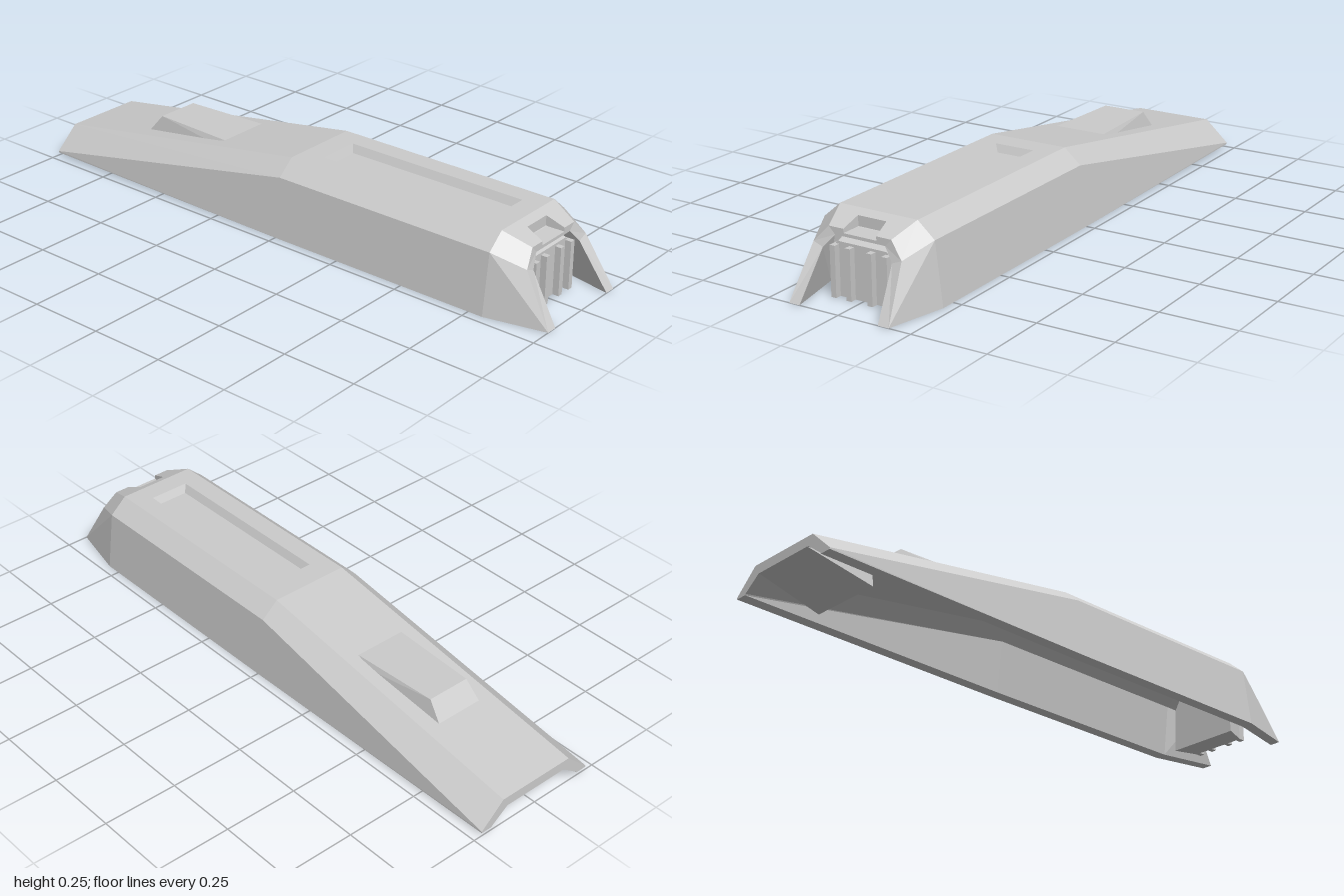
import * as THREE from 'three';

const material = new THREE.MeshStandardMaterial({ color: 0xcccccc, flatShading: true, side: THREE.DoubleSide });

// Builds a mesh from quads given for the +x half, mirrored to -x
function mirroredMesh(name, quads) {
  const pos = [];
  const flip = ([x, y, z]) => [-x, y, z];
  for (const [a, b, c, d] of quads) {
    pos.push(...a, ...b, ...c, ...a, ...c, ...d);
    const [e, f, g, h] = [a, b, c, d].map(flip);
    pos.push(...e, ...g, ...f, ...e, ...h, ...g);
  }
  const geometry = new THREE.BufferGeometry();
  geometry.setAttribute('position', new THREE.Float32BufferAttribute(pos, 3));
  geometry.computeVertexNormals();
  const mesh = new THREE.Mesh(geometry, material);
  mesh.name = name;
  return mesh;
}

const mid = ([, y, z]) => [0, y, z];

// Skins two half sections (rows of points running from the side to the middle)
function skin(front, back) {
  const quads = [];
  for (let i = 0; i < front.length - 1; i++) quads.push([front[i], back[i], back[i + 1], front[i + 1]]);
  return quads;
}

function createShell() {
  // Half sections, front to back: bottom, shoulder, roof edge
  const outer = [
    [[0.175, 0, 1], [0.155, 0.163, 0.905], [0.11, 0.213, 0.89]],
    [[0.22, 0, 0.8], [0.195, 0.2, 0.8], [0.137, 0.25, 0.8]],
    [[0.22, 0, 0], [0.195, 0.2, 0], [0.137, 0.25, 0]],
    [[0.22, 0.01, -1], [0.22, 0.015, -1], [0.137, 0.09, -1]],
  ];
  const inner = [
    [[0.138, 0, 1], [0.122, 0.15, 0.905], [0.088, 0.19, 0.89]],
    [[0.18, 0, 0.8], [0.158, 0.175, 0.8], [0.112, 0.212, 0.8]],
    [[0.18, 0, 0], [0.158, 0.175, 0], [0.112, 0.212, 0]],
    [[0.18, 0.01, -1], [0.178, 0.014, -1], [0.118, 0.058, -1]],
  ];
  const quads = [];
  for (let k = 0; k < 3; k++) {
    quads.push(...skin(outer[k], outer[k + 1]));
    const ceiling = (row) => [...row, mid(row[2])];
    quads.push(...skin(ceiling(inner[k + 1]), ceiling(inner[k])));
    quads.push([inner[k][0], inner[k + 1][0], outer[k + 1][0], outer[k][0]]);
  }
  // End rims
  for (let i = 0; i < 2; i++) {
    quads.push([outer[0][i], outer[0][i + 1], inner[0][i + 1], inner[0][i]]);
    quads.push([outer[3][i], inner[3][i], inner[3][i + 1], outer[3][i + 1]]);
  }
  quads.push([outer[3][2], inner[3][2], mid(inner[3][2]), mid(outer[3][2])]);

  // Rear roof
  const roof = outer.map((row) => row[2]);
  quads.push([roof[2], roof[3], mid(roof[3]), mid(roof[2])]);

  // Flat roof around the long recess, with its sloped walls and floor
  const a = [0.07, 0.25, 0.73], b = [0.07, 0.25, 0.08];
  const c = [0.056, 0.225, 0.715], d = [0.056, 0.225, 0.092];
  quads.push(
    [roof[1], roof[2], b, a],
    [roof[1], a, mid(a), mid(roof[1])],
    [b, roof[2], mid(roof[2]), mid(b)],
    [a, b, d, c],
    [a, c, mid(c), mid(a)],
    [d, b, mid(b), mid(d)],
    [c, d, mid(d), mid(c)],
  );

  // Sloped nose around the small notch
  const e = [0.058, 0.213, 0.89], f = [0.05, 0.2377, 0.83];
  const g = [0.058, 0.2, 0.89], h = [0.05, 0.204, 0.83], lip = [0.058, 0.19, 0.89];
  quads.push(
    [roof[0], roof[1], f, e],
    [f, roof[1], mid(roof[1]), mid(f)],
    [e, f, h, g],
    [h, f, mid(f), mid(h)],
    [g, h, mid(h), mid(g)],
    [roof[0], e, lip, inner[0][2]],
    [g, mid(g), mid(lip), lip],
  );
  return mirroredMesh('shell', quads);
}

// Wedge-shaped block on the rear roof
function createRearSight() {
  const frontTop = [0.09, 0.2, -0.33], backTop = [0.075, 0.2, -0.63];
  const frontLow = [0.095, 0.18, -0.39], backLow = [0.084, 0.14, -0.68];
  return mirroredMesh('rearRaisedBlock', [
    [frontTop, backTop, mid(backTop), mid(frontTop)],
    [frontLow, backLow, backTop, frontTop],
    [backLow, mid(backLow), mid(backTop), backTop],
    [frontLow, frontTop, mid(frontTop), mid(frontLow)],
  ]);
}

// Tapered plug with upright ribs inside the nose
function createGrille() {
  const group = new THREE.Group();
  group.name = 'frontGrille';
  const front = [[0.1, 0, 0.88], [0.1, 0.155, 0.88], [0.085, 0.168, 0.88], [0, 0.168, 0.88]];
  const back = [[0.128, 0, 0.8], [0.12, 0.15, 0.8], [0.09, 0.2, 0.8], [0, 0.2, 0.8]];
  const quads = skin(front, back);
  for (let i = 0; i < 2; i++) {
    quads.push([front[i], front[i + 1], mid(front[i + 1]), mid(front[i])]);
    quads.push([back[i], mid(back[i]), mid(back[i + 1]), back[i + 1]]);
  }
  quads.push([front[0], mid(front[0]), mid(back[0]), back[0]]);
  group.add(mirroredMesh('grilleBody', quads));
  for (const side of [-1, 1]) {
    for (const x of [0.0375, 0.0915]) {
      const rib = new THREE.Mesh(new THREE.BoxGeometry(0.018, 0.16, 0.03), material);
      rib.position.set(side * x, 0.08, 0.886);
      rib.name = 'grilleRib';
      group.add(rib);
    }
  }
  return group;
}

// Sloped wedge closing the underside of the tail
function createTailWedge() {
  const tip = [0.115, 0.057, -1], low = [0.128, 0.006, -0.77], high = [0.115, 0.092, -0.77];
  return mirroredMesh('tailWedge', [
    [tip, low, mid(low), mid(tip)],
    [low, high, mid(high), mid(low)],
    [low, tip, high, high],
  ]);
}

export function createModel() {
  const model = new THREE.Group();
  model.name = 'slideCover';
  model.add(createShell(), createRearSight(), createGrille(), createTailWedge());
  return model;
}
